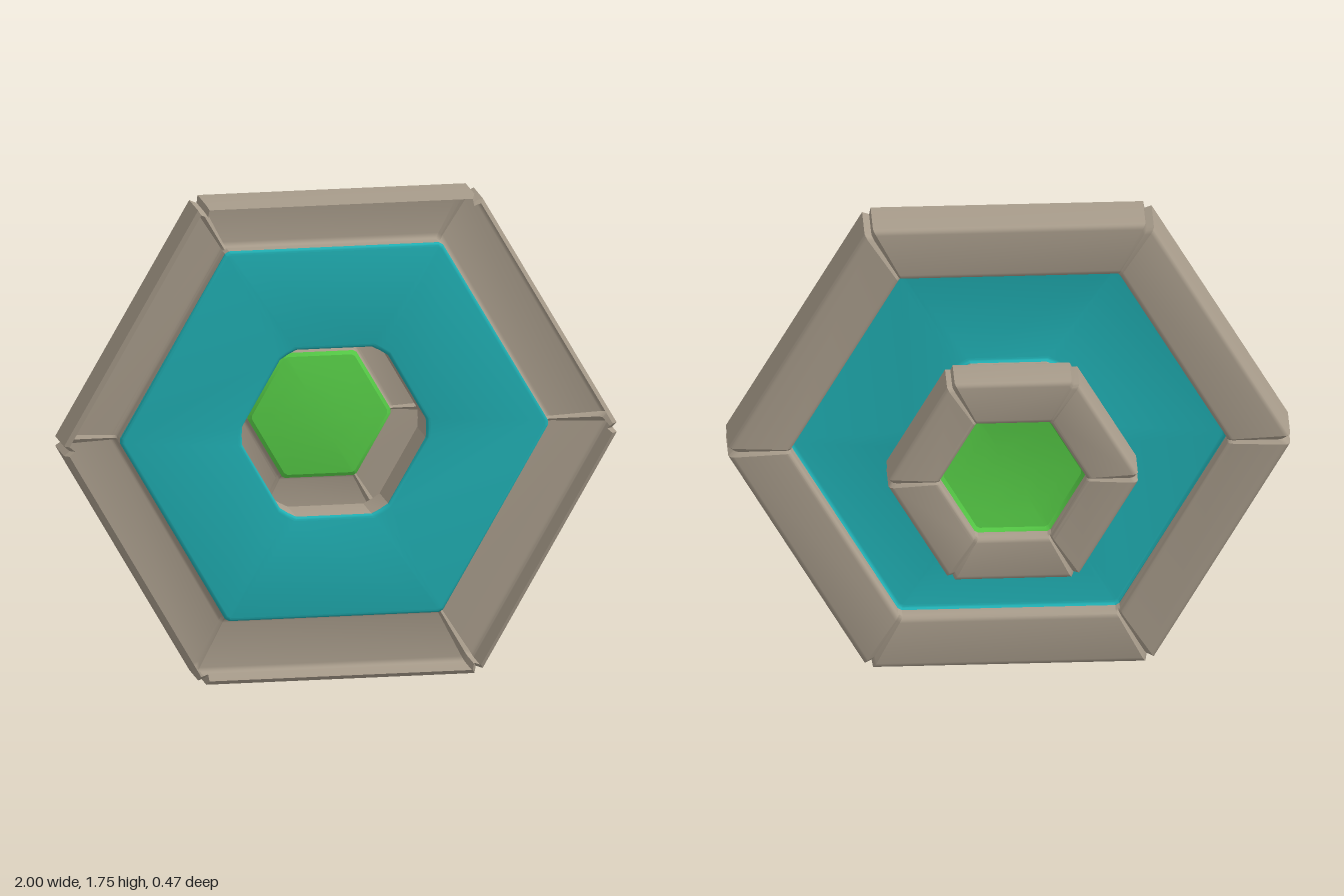
import * as THREE from 'three';
import { toCreasedNormals } from 'three/addons/utils/BufferGeometryUtils.js';

const CENTER_Y = 0.875;

// Rounds the corners of a profile. Point: [apothem, z, radius, corner cut, groove, dip]
function roundProfile(points, steps = 4) {
  const out = [];
  points.forEach((p, i) => {
    const r = p[2];
    if (!r || i === 0 || i === points.length - 1) { out.push(p); return; }
    const c = new THREE.Vector2(p[0], p[1]);
    const towards = (q) => new THREE.Vector2(q[0], q[1]).sub(c).setLength(r).add(c);
    const a = towards(points[i - 1]);
    const b = towards(points[i + 1]);
    // Right angles: swing around the arc centre
    const o = a.clone().add(b).sub(c);
    for (let k = 0; k <= steps; k++) {
      const t = (k / steps) * Math.PI / 2;
      out.push([
        o.x + (a.x - o.x) * Math.cos(t) + (b.x - o.x) * Math.sin(t),
        o.y + (a.y - o.y) * Math.cos(t) + (b.y - o.y) * Math.sin(t),
        0, p[3], p[4], p[5],
      ]);
    }
  });
  return out;
}

// One hexagonal section: every corner is cut, with a groove point in the middle
function hexSection([apothem, z, , cut = 0, groove = 0, dip = 0]) {
  const R = apothem / Math.cos(Math.PI / 6);
  const pts = [];
  for (let i = 0; i < 6; i++) {
    const a = i * Math.PI / 3;
    const d = Math.min(cut, R * 0.3);
    const along = (s) => [
      R * Math.cos(a) + d * Math.cos(a + s * 2 * Math.PI / 3),
      R * Math.sin(a) + d * Math.sin(a + s * 2 * Math.PI / 3), z];
    const rg = R - groove;
    pts.push(along(-1), [rg * Math.cos(a), rg * Math.sin(a), z + dip], along(1));
  }
  return pts;
}

// Sweeps a profile around the hexagon
function hexShell(name, profile, material) {
  const rows = roundProfile(profile).map(hexSection);
  const n = rows[0].length;
  const index = [];
  for (let i = 0; i < rows.length - 1; i++) {
    for (let j = 0; j < n; j++) {
      const k = (j + 1) % n;
      const a = i * n + j, b = i * n + k, c = a + n, d = b + n;
      index.push(a, c, b, b, c, d);
    }
  }
  let geo = new THREE.BufferGeometry();
  geo.setAttribute('position', new THREE.Float32BufferAttribute(rows.flat(2), 3));
  geo.setIndex(index);
  geo = toCreasedNormals(geo, 0.45);
  const mesh = new THREE.Mesh(geo, material);
  mesh.name = name;
  mesh.position.y = CENTER_Y;
  return mesh;
}

function material(name, color) {
  const m = new THREE.MeshStandardMaterial({ color, side: THREE.DoubleSide });
  m.name = name;
  return m;
}

export function createModel() {
  const stone = material('warm grey', 0xa89c8b);
  const teal = material('teal', 0x20b0b4);
  const green = material('green', 0x58d048);

  const group = new THREE.Group();
  group.name = 'hexagonalDish';

  // Wide outer channel, open at the front
  group.add(hexShell('outerRing', [
    [0.86, 0.235, 0, 0.02, 0.03],
    [0.875, 0.22, 0, 0.02, 0.03],
    [0.875, 0.035, 0.02, 0.02, 0.03, 0.01],
    [0.675, 0.035, 0.02, 0.01, 0.005, 0.01],
    [0.675, 0.098, 0, 0.01, 0.005],
  ], stone));

  // Flat plate with softened inner and outer edges
  group.add(hexShell('plate', [
    [0.675, 0.098, 0, 0.01, 0.005],
    [0.675, 0.112, 0.013, 0.01, 0.005],
    [0.305, 0.112, 0.013, 0.04, 0.018],
    [0.305, 0.098, 0, 0.04, 0.018],
  ], teal));

  // Neck leading back into the small rear ring
  group.add(hexShell('hub', [
    [0.305, 0.098, 0, 0.04, 0.018],
    [0.305, -0.07, 0.01, 0.04, 0.018],
    [0.3925, -0.07, 0.016, 0.018, 0.02],
    [0.3925, -0.235, 0.018, 0.018, 0.02, 0.008],
    [0.228, -0.235, 0.018, 0.008, 0.004, 0.008],
    [0.228, -0.18, 0, 0.008, 0.004],
  ], stone));

  // Slightly domed centre panel
  group.add(hexShell('centrePanel', [
    [0.228, -0.18, 0, 0.008, 0.004],
    [0.215, -0.17, 0, 0.008, 0.004],
    [0.16, -0.163, 0, 0.008, 0.004],
    [0.08, -0.156, 0, 0.006, 0.003],
    [0.0001, -0.154],
  ], green));

  return group;
}
